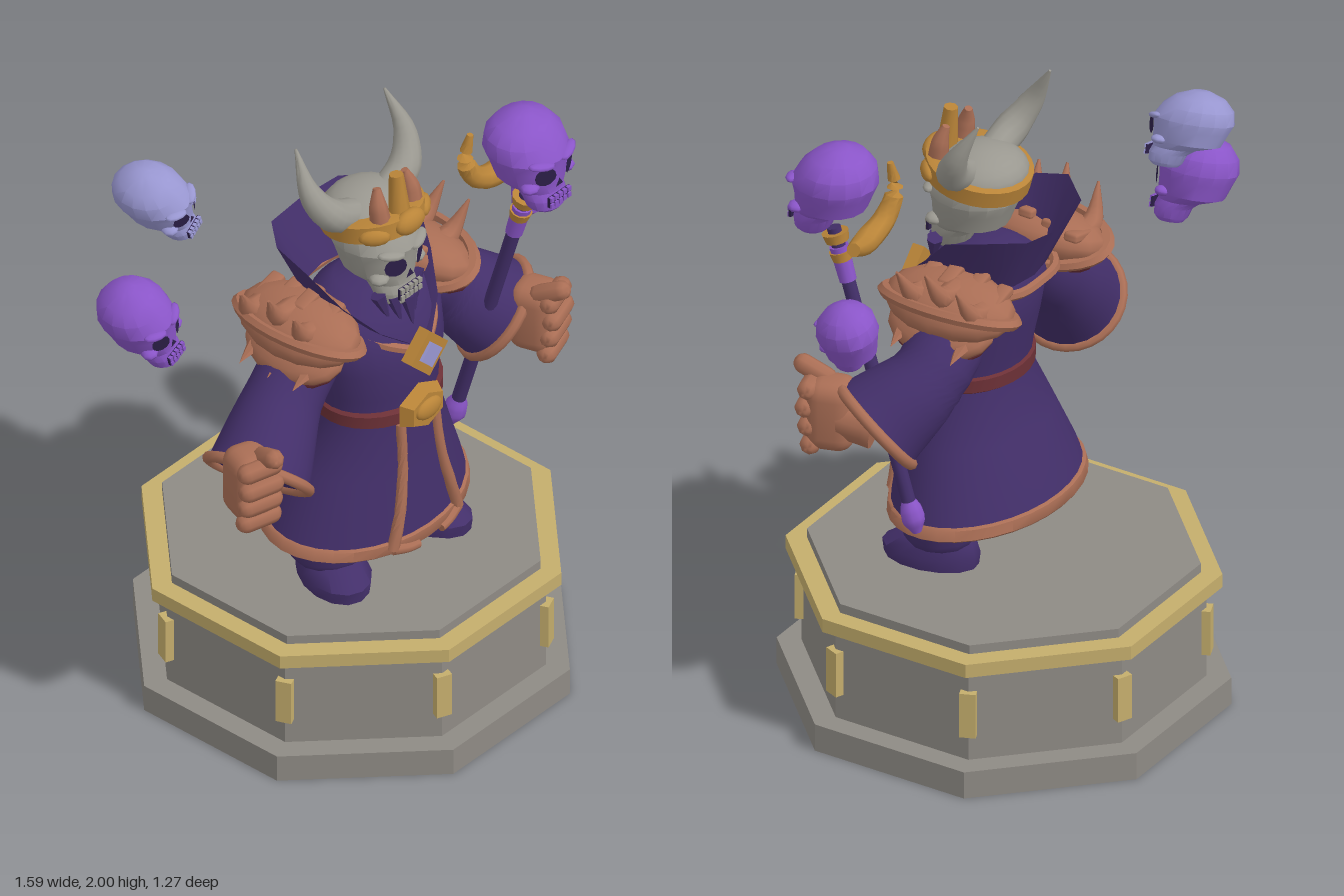
import * as THREE from 'three';
import { toCreasedNormals } from 'three/addons/utils/BufferGeometryUtils.js';
import { RoundedBoxGeometry } from 'three/addons/geometries/RoundedBoxGeometry.js';

const paint = (name, color, extra = {}) => Object.assign(new THREE.MeshStandardMaterial({ color, ...extra }), { name });
const V = (p) => new THREE.Vector3(...p);
const UP = new THREE.Vector3(0, 1, 0);

export function createModel() {
  const stone = paint('stone', 0x8e8a84), trim = paint('pale gold', 0xc4ad6c), gold = paint('gold', 0xb98438),
    leather = paint('leather', 0xaa6e55), robe = paint('robe purple', 0x432f6a, { side: THREE.DoubleSide }),
    violet = paint('violet', 0x8a55c8), lavender = paint('lavender', 0x9896d0), bone = paint('bone grey', 0x9a9890),
    red = paint('dark red', 0x6c3036), dark = paint('shadow purple', 0x2c1f48);

  const model = new THREE.Group();
  model.name = 'sorcererOnPlinth';

  function add(parent, name, geo, mat, pos = [0, 0, 0], rot = [0, 0, 0], scale = [1, 1, 1], crease = 0.9) {
    const m = new THREE.Mesh(toCreasedNormals(geo, crease), mat);
    m.name = name;
    m.position.set(...pos);
    m.rotation.set(...rot);
    m.scale.set(...scale);
    parent.add(m);
    return m;
  }
  function group(parent, name, pos = [0, 0, 0], rot = [0, 0, 0], scale = [1, 1, 1]) {
    const g = new THREE.Group();
    g.name = name;
    g.position.set(...pos);
    g.rotation.set(...rot);
    g.scale.set(...scale);
    parent.add(g);
    return g;
  }

  // Skin over elliptical sections { c, rx, rz, q }, capped at both ends
  function loft(sections, seg = 24) {
    const pos = [], idx = [], n = sections.length;
    sections.forEach(({ c, rx, rz, q }) => {
      for (let j = 0; j < seg; j++) {
        const a = (j / seg) * Math.PI * 2;
        const p = new THREE.Vector3(Math.cos(a) * rx, 0, Math.sin(a) * rz);
        if (q) p.applyQuaternion(q);
        pos.push(...p.add(V(c)).toArray());
      }
    });
    pos.push(...sections[0].c, ...sections[n - 1].c);
    for (let j = 0; j < seg; j++) {
      const k = (j + 1) % seg;
      for (let i = 0; i < n - 1; i++) {
        const a = i * seg + j, b = i * seg + k;
        idx.push(a, a + seg, b, b, a + seg, b + seg);
      }
      idx.push(n * seg, j, k, n * seg + 1, (n - 1) * seg + k, (n - 1) * seg + j);
    }
    const g = new THREE.BufferGeometry();
    g.setAttribute('position', new THREE.Float32BufferAttribute(pos, 3));
    g.setIndex(idx);
    return g;
  }
  // Rows of [y, centre z, rx, rz], with an optional forward tilt
  const stack = (rows, seg, tilt = 0) => {
    const q = new THREE.Quaternion().setFromEuler(new THREE.Euler(tilt, 0, 0));
    return loft(rows.map(([y, z, rx, rz]) => ({ c: [0, y, z], rx, rz, q })), seg);
  };
  // Tapered tube through points
  function tube(points, radii, seg = 10, steps = 10) {
    const curve = new THREE.CatmullRomCurve3(points.map(V));
    const rows = [];
    for (let i = 0; i <= steps; i++) {
      const u = i / steps, f = u * (radii.length - 1), k = Math.min(Math.floor(f), radii.length - 2);
      const r = THREE.MathUtils.lerp(radii[k], radii[k + 1], f - k);
      const q = new THREE.Quaternion().setFromUnitVectors(UP, curve.getTangent(u));
      rows.push({ c: curve.getPoint(u).toArray(), rx: r, rz: r, q });
    }
    return loft(rows, seg);
  }
  const ball = (w = 16, h = 10) => new THREE.SphereGeometry(1, w, h);

  // Plinth
  const plinth = group(model, 'plinth');
  [['footSlab', 0.635, 0, 0.09, stone], ['drum', 0.565, 0.09, 0.4, stone], ['goldRim', 0.61, 0.4, 0.445, trim],
    ['topSlab', 0.55, 0.445, 0.475, stone]].forEach(([name, apothem, y0, y1, mat]) => {
    const r = apothem / Math.cos(Math.PI / 8);
    add(plinth, name, new THREE.CylinderGeometry(r, r, y1 - y0, 8), mat, [0, (y0 + y1) / 2, 0], [0, Math.PI / 8, 0], [1, 1, 1], 0.4);
  });
  for (let k = 0; k < 8; k++) {
    const a = Math.PI / 8 + (k * Math.PI) / 4;
    add(plinth, 'cornerStud', new THREE.BoxGeometry(0.05, 0.15, 0.035), trim, [Math.sin(a) * 0.611, 0.25, Math.cos(a) * 0.611], [0, a, 0]);
  }

  // Skull facing +z, origin between the eyes
  function skull(name, mat, pos, rot, scale) {
    const g = group(model, name, pos, rot, scale);
    add(g, 'cranium', stack([[-0.16, 0.075, 0.045, 0.045], [-0.145, 0.075, 0.06, 0.058], [-0.11, 0.07, 0.07, 0.065],
      [-0.085, 0.05, 0.07, 0.075], [-0.055, 0.01, 0.1, 0.118], [0, 0, 0.112, 0.13], [0.035, -0.005, 0.124, 0.14],
      [0.085, -0.015, 0.116, 0.122], [0.125, -0.02, 0.085, 0.085], [0.15, -0.02, 0.03, 0.03]], 16), mat, [0, 0, 0], [0, 0, 0], [1, 1, 1], 0.55);
    for (const s of [-1, 1]) {
      add(g, 'eyeSocket', new THREE.CircleGeometry(0.034, 12), dark, [s * 0.05, -0.003, 0.126], [0.03, s * 0.5, 0]);
      add(g, 'brow', ball(10, 6), mat, [s * 0.055, 0.036, 0.115], [0, s * 0.45, s * 0.2], [0.045, 0.013, 0.022]);
      add(g, 'cheekbone', ball(8, 6), mat, [s * 0.075, -0.05, 0.085], [0, 0, 0], [0.03, 0.018, 0.03]);
    }
    add(g, 'noseHole', new THREE.CircleGeometry(0.018, 3, Math.PI / 2), dark, [0, -0.048, 0.135]);
    add(g, 'mouth', new THREE.BoxGeometry(0.088, 0.036, 0.009), dark, [0, -0.104, 0.133]);
    for (let i = -2; i <= 2; i++) for (const y of [-0.093, -0.116])
      add(g, 'tooth', new THREE.BoxGeometry(0.013, 0.016, 0.012), mat, [i * 0.018, y, 0.137]);
    return g;
  }
  skull('lavenderSkull', lavender, [-0.49, 1.785, -0.35], [0, 0.2, 0.35], [0.78, 0.78, 0.9]);
  skull('violetSkullRight', violet, [-0.675, 1.49, -0.25], [0, 0.1, 0.3], [0.86, 0.9, 0.88]);
  skull('violetSkullLeft', violet, [0.685, 1.495, 0.11], [0, -0.6, -0.25], [0.76, 0.85, 0.8]);
  skull('staffSkull', violet, [0.4, 1.8, 0.345], [0, 0, 0], [1.05, 0.96, 0.95]);

  // Figure, centred a little to its right
  const X = -0.035;
  const body = group(model, 'body', [X, 0, 0]);
  const skirtRows = [[0.65, 0.08, 0.362, 0.26], [0.72, 0.088, 0.34, 0.245], [0.88, 0.11, 0.272, 0.208], [1.05, 0.135, 0.2, 0.166], [1.1, 0.135, 0.2, 0.166]];
  add(body, 'skirt', stack(skirtRows, 32, 0.07), robe);
  add(body, 'hem', stack([[0.632, 0.08, 0.36, 0.262], [0.64, 0.08, 0.372, 0.268], [0.672, 0.082, 0.364, 0.264], [0.678, 0.083, 0.352, 0.252]], 32, 0.07), leather);
  add(body, 'torso', stack([[1.06, 0.135, 0.2, 0.165], [1.15, 0.13, 0.207, 0.172], [1.25, 0.125, 0.228, 0.187], [1.36, 0.105, 0.24, 0.182],
    [1.43, 0.09, 0.19, 0.15], [1.47, 0.09, 0.1, 0.1]], 28), robe);
  add(body, 'belt', stack([[1.05, 0.135, 0.2, 0.166], [1.06, 0.135, 0.214, 0.18], [1.1, 0.135, 0.214, 0.18], [1.11, 0.135, 0.2, 0.166]], 28), red);
  for (const s of [-1, 1]) {
    add(body, 'skirtTrim', tube([[s * 0.075, 1.05, 0.293], [s * 0.085, 0.88, 0.308], [s * 0.115, 0.74, 0.322], [s * 0.145, 0.635, 0.322]], [0.016, 0.02], 8), leather);
    add(body, 'innerTrim', tube([[s * 0.145, 0.635, 0.322], [s * 0.09, 0.62, 0.336], [s * 0.05, 0.615, 0.342]], [0.018, 0.014], 8), leather);
  }
  add(body, 'buckle', new THREE.CylinderGeometry(0.075, 0.098, 0.04, 6), gold, [-0.01, 1.095, 0.325], [Math.PI / 2, 0, 0], [1, 1, 0.8]);
  add(body, 'buckleBoss', ball(), gold, [-0.01, 1.1, 0.345], [0, 0, 0], [0.055, 0.035, 0.02]);
  add(body, 'broochFrame', new THREE.BoxGeometry(0.118, 0.118, 0.04), gold, [-0.01, 1.305, 0.33], [0, 0, Math.PI / 4]);
  add(body, 'broochGem', new THREE.BoxGeometry(0.066, 0.066, 0.03), lavender, [-0.01, 1.305, 0.345], [0, 0, Math.PI / 4]);

  // Legs and boots
  [[-0.235, 0.13, -0.4, 1.1], [0.165, 0.14, 0.15, 1]].forEach(([x, z, yaw, w]) => {
    const leg = group(model, 'leg', [x, 0, z], [0, yaw, 0], [w, 1, 1]);
    add(leg, 'trouser', stack([[0.55, -0.02, 0.1, 0.1], [0.575, -0.02, 0.115, 0.115], [0.7, -0.03, 0.1, 0.1]], 14), robe);
    add(leg, 'boot', stack([[0.475, 0.01, 0.09, 0.15], [0.515, 0.01, 0.095, 0.155], [0.55, -0.01, 0.08, 0.125], [0.585, -0.04, 0.07, 0.07]], 14), robe);
  });

  // Standing collar with its base trim
  const top = [[0, 1.61, -0.18], [0.15, 1.625, -0.155], [0.245, 1.635, -0.05], [0.25, 1.6, 0.07], [0.2, 1.49, 0.17], [0.13, 1.4, 0.26], [0.03, 1.33, 0.32]];
  const low = [[0, 1.42, -0.085], [0.09, 1.42, -0.07], [0.16, 1.42, 0.0], [0.165, 1.41, 0.08], [0.14, 1.4, 0.17], [0.09, 1.36, 0.25], [0.02, 1.32, 0.3]];
  const full = (half) => [...half.slice(1).reverse().map(([x, y, z]) => [-x, y, z]), ...half];
  const collar = new THREE.BufferGeometry(), ci = [];
  collar.setAttribute('position', new THREE.Float32BufferAttribute([...full(low), ...full(top)].flat(), 3));
  for (let i = 0; i < 12; i++) ci.push(i, i + 13, i + 1, i + 1, i + 13, i + 14);
  collar.setIndex(ci);
  add(body, 'collar', collar, robe);
  add(body, 'collarTrim', new THREE.TubeGeometry(new THREE.CatmullRomCurve3(full(low.map(([x, y, z]) => [x * 1.2, y - 0.015, z < 0 ? z - 0.02 : z + 0.01])).map(V)), 40, 0.016, 6), leather);
  for (let i = -2; i <= 2; i++)
    add(body, 'beardSpike', new THREE.ConeGeometry(0.026, 0.11, 6), robe, [i * 0.036, 1.415 + Math.abs(i) * 0.015, 0.265 - Math.abs(i) * 0.02], [Math.PI - 0.25, 0, i * 0.12]);

  // Layered shoulder armour
  for (const s of [-1, 1]) {
    const p = group(body, 'pauldron');
    add(p, 'lowerPlate', ball(), leather, [s * 0.285, 1.345, 0.06], [0, 0, -s * 0.55], [0.115, 0.062, 0.18]);
    add(p, 'liningPlate', ball(), red, [s * 0.275, 1.325, 0.06], [0, 0, -s * 0.55], [0.118, 0.055, 0.165]);
    add(p, 'upperPlate', ball(), leather, [s * 0.255, 1.405, 0.05], [0, 0, -s * 0.3], [0.13, 0.085, 0.218]);
    add(p, 'plateRim', new THREE.TorusGeometry(0.1, 0.012, 6, 28), leather, [s * 0.257, 1.4, 0.05], [Math.PI / 2, s * 0.3, 0], [1.28, 2.15, 1.6]);
    [[-0.08, 0.03], [0.03, 0], [0.13, 0.02]].forEach(([z, d]) => {
      add(p, 'spike', tube([[s * 0.25, 1.455 - d, z], [s * 0.33, 1.47 - d, z], [s * 0.395, 1.57 - d, z + 0.02]], [0.042, 0.034, 0.004], 8), leather);
      add(p, 'plateTip', new THREE.ConeGeometry(0.045, 0.13, 6), leather, [s * 0.355, 1.325, z + 0.03], [0, 0, -s * 2.0], [0.6, 1, 1]);
    });
    for (const z of [-0.1, -0.02, 0.06, 0.14])
      add(p, 'ridge', new RoundedBoxGeometry(0.11, 0.03, 0.05, 1, 0.01), leather, [s * 0.225, 1.49 - Math.abs(z - 0.05) * 0.25, z], [0, 0, -s * 0.25]);
    add(p, 'stud', ball(10, 8), bone, [s * 0.215, 1.385, 0.24], [0, 0, 0], [0.02, 0.02, 0.02]);
  }

  // Sleeves, cuffs and fists
  function arm(side, path, handPos, yaw) {
    const g = group(model, side + 'Arm');
    add(g, 'sleeve', tube(path, [0.11, 0.118, 0.16], 24), robe);
    const dir = new THREE.CatmullRomCurve3(path.map(V)).getTangent(1);
    const cuff = add(g, 'cuff', new THREE.TorusGeometry(0.158, 0.018, 8, 28), leather, path[2]);
    cuff.quaternion.setFromUnitVectors(new THREE.Vector3(0, 0, 1), dir);
    add(g, 'wrist', tube([path[2], handPos], [0.075, 0.07], 12, 3), leather);
    const h = group(g, 'fist', handPos, [0, yaw, 0]);
    add(h, 'palm', new RoundedBoxGeometry(0.14, 0.23, 0.15, 3, 0.05), leather, [0, 0, -0.01]);
    for (let i = 0; i < 4; i++)
      add(h, 'finger', new THREE.CapsuleGeometry(0.032, 0.085, 4, 8), leather, [0, 0.085 - i * 0.062, 0.062 - Math.abs(i - 1) * 0.008], [0, 0, Math.PI / 2 + 0.08]);
    add(h, 'thumb', new THREE.CapsuleGeometry(0.031, 0.08, 4, 8), leather, [side === 'left' ? -0.03 : 0.03, 0.115, 0.05], [1.1, 0, 0]);
  }
  arm('right', [[-0.2, 1.36, 0.06], [-0.38, 1.2, 0.07], [-0.555, 1.03, 0.12]], [-0.645, 1.075, 0.17], -0.35);
  arm('left', [[0.14, 1.36, 0.05], [0.345, 1.21, 0.05], [0.475, 1.08, 0.15]], [0.515, 1.105, 0.29], 0.3);

  // Staff
  const at = (y) => [0.365 + (y - 0.7) * 0.028, y, 0.08 + (y - 0.7) * 0.283];
  const staff = group(model, 'staff');
  const lean = [0.275, 0, -0.028];
  add(staff, 'shaft', tube([at(0.74), at(1.2), at(1.66)], [0.022, 0.022], 10), robe);
  add(staff, 'bulb', tube([at(0.68), at(0.72), at(0.755), at(0.79)], [0.014, 0.037, 0.034, 0.018], 10), violet);
  add(staff, 'grip', tube([at(1.49), at(1.6)], [0.027, 0.03], 10, 2), violet);
  for (const [y, r] of [[1.57, 0.035], [1.63, 0.042]])
    add(staff, 'ring', new THREE.CylinderGeometry(r, r * 0.85, 0.03, 12), gold, at(y), lean);
  add(staff, 'crescent', tube([[0.285, 1.87, 0.22], [0.275, 1.77, 0.21], [0.32, 1.69, 0.22], [0.42, 1.665, 0.22], [0.535, 1.7, 0.19]], [0.01, 0.028, 0.035, 0.04, 0.022], 8, 14), gold);

  // Head, crown and horns
  skull('head', bone, [X - 0.005, 1.612, 0.13], [0, 0, 0], [1.08, 1.03, 1.02]);
  const crown = group(model, 'crown', [X - 0.005, 0, 0]);
  add(crown, 'dome', ball(20, 12), bone, [0, 1.72, 0.1], [0, 0, 0], [0.145, 0.085, 0.14]);
  const band = group(crown, 'bandTilt', [0, 1.725, 0.115], [-0.2, 0, 0]);
  add(band, 'band', stack([[-0.035, 0, 0.145, 0.15], [-0.03, 0, 0.157, 0.163], [0.025, 0, 0.16, 0.166], [0.032, 0, 0.145, 0.15]], 28), gold);
  add(crown, 'frontBoss', ball(), gold, [0, 1.755, 0.265], [0, 0, 0], [0.06, 0.04, 0.032]);
  add(crown, 'centreSpike', new THREE.CylinderGeometry(0.022, 0.035, 0.15, 8), gold, [0, 1.83, 0.22], [-0.1, 0, 0]);
  for (const s of [-1, 1]) {
    add(crown, 'sideSpike', tube([[s * 0.07, 1.75, 0.215], [s * 0.072, 1.82, 0.205], [s * 0.062, 1.875, 0.19]], [0.034, 0.028, 0.012], 8), leather);
    add(crown, 'bandKnob', ball(10, 8), gold, [s * 0.11, 1.735, 0.225], [0, s * 0.7, 0], [0.05, 0.028, 0.022]);
    add(crown, 'horn', tube([[s * 0.07, 1.745, 0.11], [s * 0.165, 1.79, 0.1], [s * 0.212, 1.87, 0.06], [s * 0.2, 2.0, -0.01]], [0.05, 0.052, 0.036, 0.004], 12, 14), bone);
  }
  return model;
}
